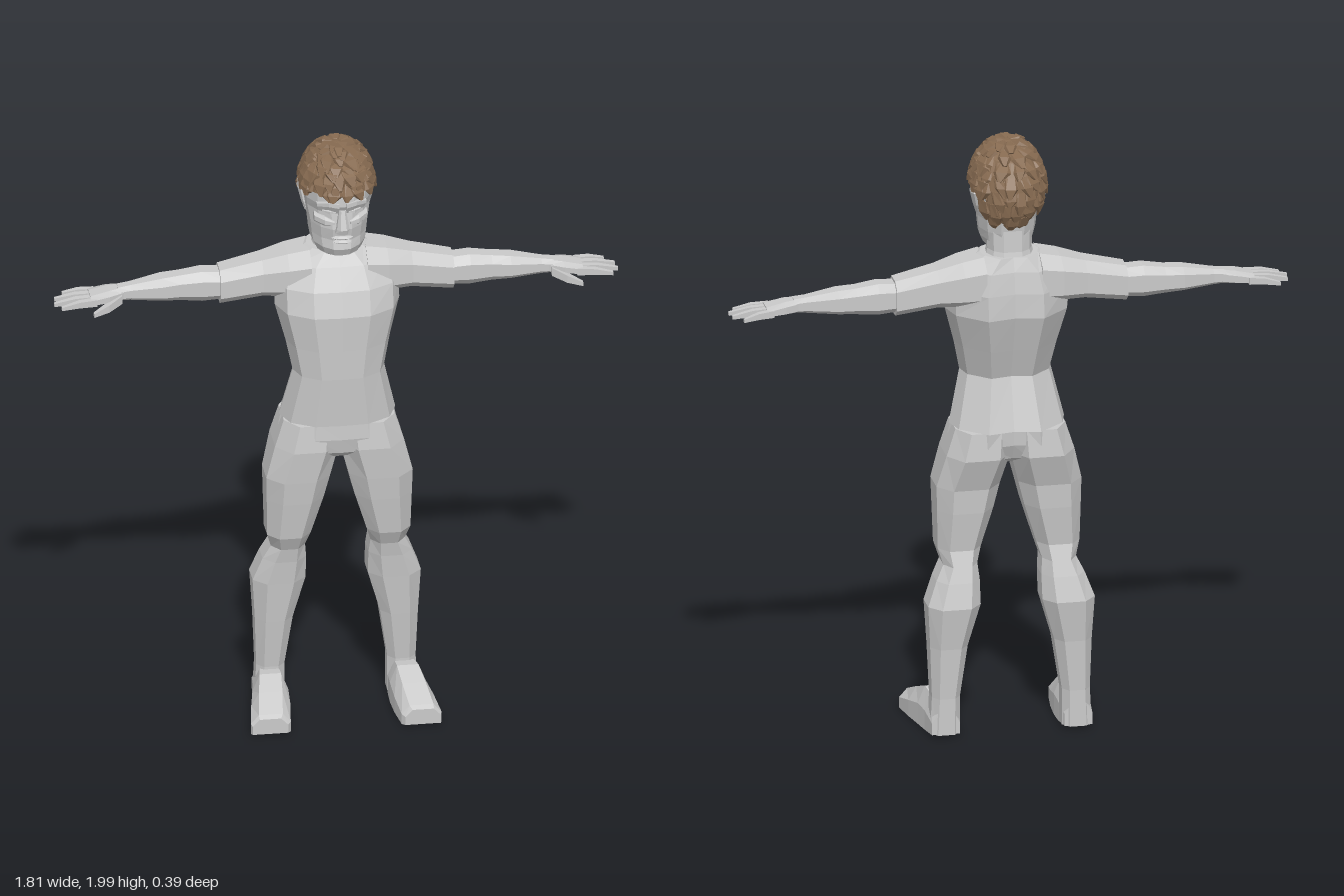
import * as THREE from 'three';

const skin = new THREE.MeshStandardMaterial({ color: 0xcacaca });
skin.name = 'light grey';
const hairBrown = new THREE.MeshStandardMaterial({ color: 0x876b51 });
hairBrown.name = 'hair brown';

// Faceted closed skin over rings with equal point counts; winding is set by signed volume.
function loft(rings) {
  const tris = [];
  const n = rings[0].length;
  for (let i = 0; i + 1 < rings.length; i++) {
    for (let j = 0; j < n; j++) {
      const k = (j + 1) % n;
      const [a, b, c, d] = [rings[i][j], rings[i][k], rings[i + 1][k], rings[i + 1][j]];
      tris.push([a, b, c], [a, c, d]);
    }
  }
  const cap = (ring, flip) => {
    const mid = ring.reduce((s, p) => s.add(p), new THREE.Vector3()).divideScalar(n);
    for (let j = 0; j < n; j++) {
      const k = (j + 1) % n;
      tris.push(flip ? [mid, ring[k], ring[j]] : [mid, ring[j], ring[k]]);
    }
  };
  cap(rings[0], true);
  cap(rings[rings.length - 1], false);
  const base = rings[0][0];
  let volume = 0;
  for (const [a, b, c] of tris) {
    volume += a.clone().sub(base).dot(b.clone().sub(base).cross(c.clone().sub(base)));
  }
  const pts = tris.flatMap(([a, b, c]) => (volume < 0 ? [a, c, b] : [a, b, c]));
  const geo = new THREE.BufferGeometry().setFromPoints(pts);
  geo.computeVertexNormals();
  return geo;
}

// Unit cross-sections, each coordinate from -1 to 1
const mirrored = (half) => [...half, ...half.slice(1, -1).reverse().map(([a, b]) => [-a, b])];
const TORSO = mirrored([[0, 1], [0.45, 0.97], [0.85, 0.65], [1, 0.1], [0.9, -0.45], [0.45, -1], [0, -0.88]]);
const HEAD = mirrored([[0, 1], [0.32, 0.95], [0.68, 0.7], [0.95, 0.3], [1, -0.2], [0.8, -0.7], [0.4, -1], [0, -1]]);
const OCT = [[0.5, 1], [1, 0.5], [1, -0.45], [0.55, -1], [-0.55, -1], [-1, -0.45], [-1, 0.5], [-0.5, 1]];
const BOX = [[1, 1], [1, -1], [-1, -1], [-1, 1]];
const SHOE = [[-1, -1], [1, -1], [1, 0.1], [0.6, 1], [-0.6, 1], [-1, 0.1]];

const mix = (a, b, u) => (a + b) / 2 + (u * (b - a)) / 2;
// Rows: y, x min, x max, z back, z front
const alongY = (shape, rows, s = 1) => loft(rows.map(([y, x0, x1, z0, z1]) =>
  shape.map(([u, v]) => new THREE.Vector3(s * mix(x0, x1, u), y, mix(z0, z1, v)))));
// Rows: x, y min, y max, z back, z front
const alongX = (shape, rows, s = 1) => loft(rows.map(([x, y0, y1, z0, z1]) =>
  shape.map(([u, v]) => new THREE.Vector3(s * x, mix(y0, y1, u), mix(z0, z1, v)))));
// Rows: z, x min, x max, y min, y max
const alongZ = (shape, rows, s = 1) => loft(rows.map(([z, x0, x1, y0, y1]) =>
  shape.map(([u, v]) => new THREE.Vector3(s * mix(x0, x1, u), mix(y0, y1, v), z))));
// Rows: y, half width, z back, z front
const symmetric = (shape, rows) => alongY(shape, rows.map(([y, w, b, f]) => [y, -w, w, b, f]));

function buildHair(add) {
  let seed = 7;
  const rand = () => {
    seed = (seed * 16807) % 2147483647;
    return seed / 2147483647;
  };
  const P = (u, th, r) => new THREE.Vector3(
    0.12 * r * Math.sin(th) * Math.sin(u), 1.83 + 0.15 * r * Math.cos(th),
    -0.03 + 0.147 * r * Math.sin(th) * Math.cos(u));
  // Hairline: short over brow and ears, low at the nape
  const limit = (u) => {
    const a = Math.abs(Math.atan2(Math.sin(u), Math.cos(u)));
    return 1.42 + 1.2 * THREE.MathUtils.smoothstep(a, 1.7, 2.55);
  };
  const shell = [];
  for (let i = 0; i <= 7; i++) {
    const t = 0.03 + (0.97 * i) / 7;
    shell.push(Array.from({ length: 16 }, (_, j) => {
      const u = (j / 16) * Math.PI * 2;
      return P(u, t * limit(u), 1);
    }));
  }
  add('hairCap', loft(shell), hairBrown);
  // Layered tapered locks, from the hairline up to the crown
  for (let row = 0; row < 7; row++) {
    const count = [7, 12, 16, 19, 20, 20, 18][row];
    for (let k = 0; k < count; k++) {
      const u = ((k + rand() * 0.8) / count) * Math.PI * 2;
      const start = (0.06 + row * 0.125) * limit(u);
      const length = 0.3 + rand() * 0.2;
      const drift = (rand() - 0.4) * 0.35;
      const w = Math.min(0.5, (0.16 + rand() * 0.1) / Math.sin(start + length / 2));
      const lift = 1.05 + rand() * 0.045;
      const rings = [[0, 0.8, 1, 0.99], [0.55, 1, lift, 1.01], [1, 0.25, lift, 1.03]].map(([f, ws, hi, lo]) => {
        const th = Math.min(start + f * length, limit(u) + 0.12);
        const c = u + drift * f;
        return [P(c - w * ws, th, lo), P(c - w * ws * 0.6, th, hi), P(c + w * ws * 0.6, th, hi), P(c + w * ws, th, lo)];
      });
      add('hairLock', loft(rings), hairBrown);
    }
  }
}

export function createModel() {
  const model = new THREE.Group();
  model.name = 'figure';
  const add = (name, geo, mat = skin) => {
    const mesh = new THREE.Mesh(geo, mat);
    mesh.name = name;
    model.add(mesh);
  };

  // Shirt body and hips
  add('shirt', symmetric(TORSO, [
    [1.03, 0.187, -0.165, 0.1], [1.2, 0.147, -0.11, 0.11], [1.3, 0.168, -0.145, 0.112],
    [1.42, 0.2, -0.185, 0.115], [1.5, 0.2, -0.18, 0.09], [1.57, 0.17, -0.165, 0.05], [1.615, 0.095, -0.145, 0.02]]));
  add('hips', symmetric(TORSO, [
    [1.04, 0.18, -0.158, 0.097], [0.98, 0.193, -0.155, 0.1], [0.93, 0.12, -0.13, 0.09], [0.9, 0.05, -0.07, 0.05]]));

  // Neck and head
  add('neck', symmetric(HEAD, [[1.58, 0.085, -0.14, 0.02], [1.63, 0.072, -0.128, 0.015], [1.72, 0.075, -0.122, 0.02]]));
  add('head', symmetric(HEAD, [
    [1.618, 0.06, -0.06, 0.06], [1.635, 0.075, -0.09, 0.095], [1.66, 0.087, -0.115, 0.107], [1.69, 0.092, -0.122, 0.1],
    [1.73, 0.096, -0.128, 0.106], [1.785, 0.106, -0.145, 0.098], [1.815, 0.11, -0.15, 0.115],
    [1.86, 0.114, -0.15, 0.112], [1.92, 0.09, -0.12, 0.075], [1.96, 0.03, -0.06, 0.01]]));
  add('nose', symmetric(OCT, [
    [1.718, 0.014, 0.08, 0.11], [1.724, 0.024, 0.08, 0.128], [1.74, 0.02, 0.08, 0.133], [1.8, 0.011, 0.08, 0.114]]));
  for (const [y, w, z] of [[1.701, 0.034, 0.113], [1.686, 0.03, 0.112]]) {
    add('lip', symmetric(OCT, [[y - 0.006, w * 0.7, 0.07, z - 0.008], [y, w, 0.06, z], [y + 0.006, w * 0.7, 0.07, z - 0.008]]));
  }

  for (const s of [1, -1]) {
    // Face details and ear
    add('brow', alongX(BOX, [[0.012, 1.812, 1.826, 0.08, 0.118], [0.045, 1.818, 1.832, 0.07, 0.112], [0.08, 1.81, 1.82, 0.03, 0.084]], s));
    add('eye', alongX(OCT, [[0.02, 1.788, 1.792, 0.07, 0.099], [0.04, 1.781, 1.8, 0.06, 0.101], [0.062, 1.789, 1.793, 0.05, 0.08]], s));
    add('cheek', alongX(OCT, [[0.025, 1.745, 1.76, 0.07, 0.104], [0.055, 1.74, 1.772, 0.05, 0.098], [0.085, 1.745, 1.775, 0.02, 0.065]], s));
    add('ear', alongY(OCT, [
      [1.745, 0.085, 0.103, -0.05, -0.025], [1.775, 0.09, 0.113, -0.07, -0.022],
      [1.82, 0.095, 0.124, -0.085, -0.025], [1.84, 0.1, 0.12, -0.075, -0.035]], s));

    // Sleeve and arm
    add('sleeve', alongX(OCT, [
      [0.09, 1.45, 1.612, -0.165, 0.05], [0.16, 1.45, 1.598, -0.16, 0.04],
      [0.24, 1.45, 1.575, -0.14, 0.015], [0.375, 1.43, 1.545, -0.125, 0]], s));
    add('arm', alongX(OCT, [
      [0.35, 1.443, 1.535, -0.115, -0.012], [0.43, 1.437, 1.54, -0.118, -0.015], [0.5, 1.443, 1.53, -0.113, -0.022],
      [0.56, 1.447, 1.525, -0.115, -0.015], [0.66, 1.455, 1.507, -0.092, -0.03], [0.7, 1.458, 1.502, -0.092, -0.025]], s));

    // Hand, fingers and thumb
    add('palm', alongX(OCT, [
      [0.68, 1.458, 1.502, -0.09, -0.028], [0.73, 1.455, 1.497, -0.103, -0.01], [0.79, 1.453, 1.483, -0.105, -0.008]], s));
    [[0.87, -0.097, -0.116], [0.9, -0.07, -0.078], [0.905, -0.043, -0.04], [0.885, -0.018, -0.008]].forEach(([tip, z0, z1]) => {
      add('finger', alongX(BOX, [
        [0.77, 1.457, 1.48, z0 - 0.011, z0 + 0.011],
        [(0.77 + tip) / 2, 1.457, 1.477, (z0 + z1) / 2 - 0.01, (z0 + z1) / 2 + 0.01],
        [tip, 1.452, 1.463, z1 - 0.006, z1 + 0.006]], s));
    });
    add('thumb', alongX(BOX, [
      [0.69, 1.457, 1.485, -0.045, -0.015], [0.735, 1.443, 1.468, -0.018, 0.012], [0.785, 1.433, 1.446, 0.008, 0.023]], s));

    // Leg and foot
    add('leg', alongY(OCT, [
      [1.03, 0, 0.178, -0.15, 0.09], [0.94, 0, 0.207, -0.158, 0.1], [0.83, 0.03, 0.235, -0.12, 0.09],
      [0.75, 0.05, 0.233, -0.115, 0.08], [0.62, 0.09, 0.23, -0.1, 0.06], [0.57, 0.105, 0.215, -0.115, 0.035],
      [0.52, 0.1, 0.24, -0.13, 0.025], [0.44, 0.1, 0.27, -0.15, 0.015], [0.3, 0.14, 0.262, -0.13, 0],
      [0.13, 0.165, 0.256, -0.12, -0.02], [0.008, 0.165, 0.262, -0.12, -0.02]], s));
    add('foot', alongZ(SHOE, [
      [-0.115, 0.17, 0.26, 0.01, 0.08], [-0.03, 0.165, 0.268, 0, 0.12], [0.025, 0.163, 0.278, 0, 0.128],
      [0.1, 0.167, 0.293, 0, 0.1], [0.185, 0.178, 0.306, 0, 0.064], [0.2, 0.188, 0.302, 0.003, 0.055]], s));
  }

  buildHair(add);
  return model;
}
